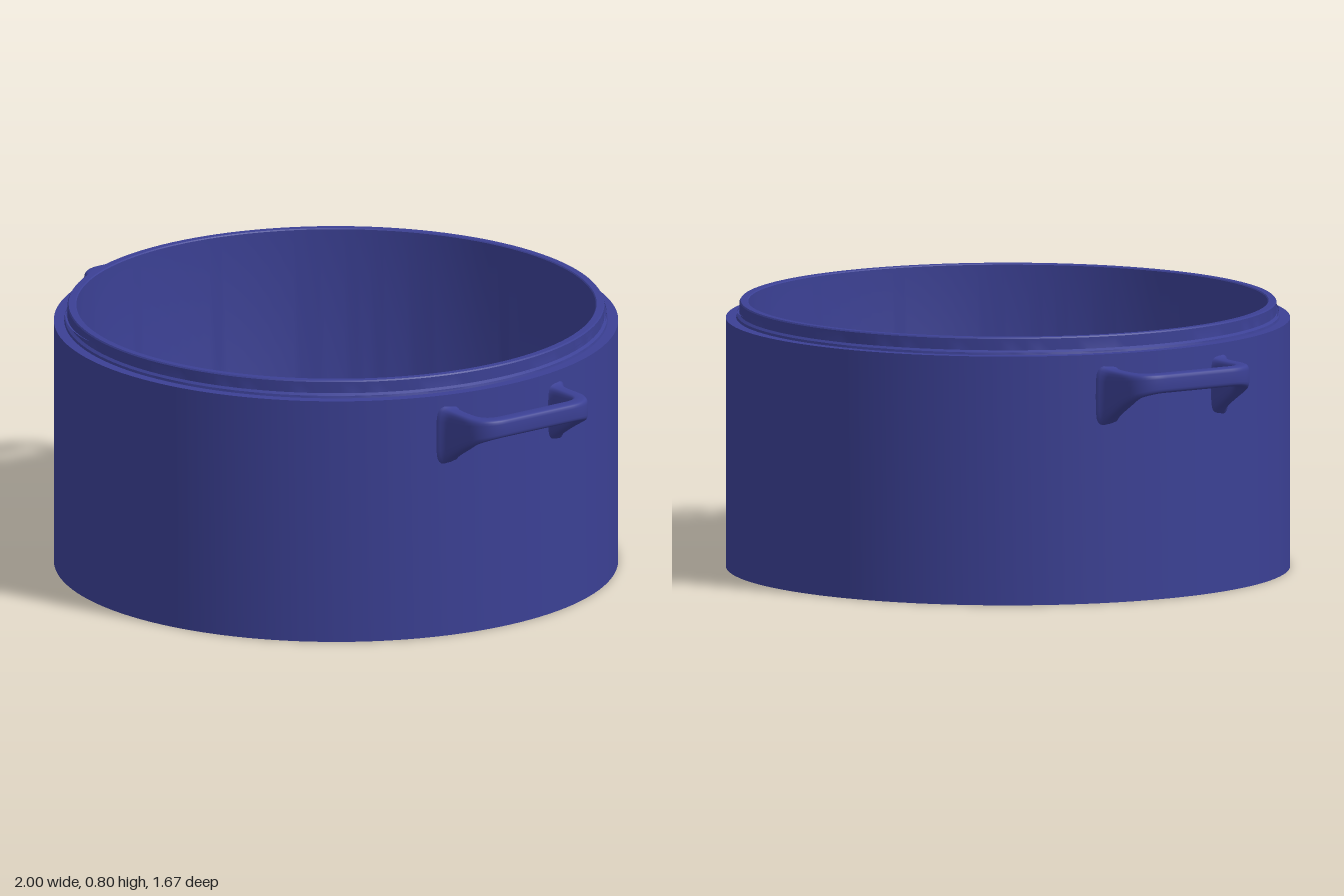
import * as THREE from 'three';
import { toCreasedNormals } from 'three/addons/utils/BufferGeometryUtils.js';

// Skin a list of closed rings (each an array of Vector3) into a tube
function loft(rings) {
  const n = rings[0].length;
  const index = [];
  for (let i = 0; i < rings.length - 1; i++) {
    for (let j = 0; j < n; j++) {
      const a = i * n + j, b = i * n + (j + 1) % n;
      index.push(a, b, a + n, b, b + n, a + n);
    }
  }
  const geo = new THREE.BufferGeometry().setFromPoints(rings.flat());
  geo.setIndex(index);
  geo.computeVertexNormals();
  return geo;
}

// U-shaped grip with a flat top and an underside that drops towards the wall
function handleGeometry() {
  const path = new THREE.Path();
  path.moveTo(0.77, 0.195);
  path.lineTo(0.9, 0.195);
  path.quadraticCurveTo(0.975, 0.195, 0.975, 0.12);
  path.lineTo(0.975, -0.12);
  path.quadraticCurveTo(0.975, -0.195, 0.9, -0.195);
  path.lineTo(0.77, -0.195);

  const rings = [];
  const steps = 90, sides = 24;
  for (let i = 0; i <= steps; i++) {
    const p = path.getPointAt(i / steps);
    const t = path.getTangentAt(i / steps);
    const flare = 0.02 * Math.exp(-Math.max(0, p.x - 0.805) / 0.015);
    const half = 0.025 + flare;
    const top = 0.7 + flare * 0.7;
    const bottom = 0.642 - (0.975 - p.x) * 0.62 - flare * 0.5;
    const ring = [];
    for (let j = 0; j < sides; j++) {
      const a = (j / sides) * Math.PI * 2;
      const round = (v) => Math.sign(v) * Math.sqrt(Math.abs(v));
      const side = half * round(Math.sin(a));
      const y = (top + bottom) / 2 + ((top - bottom) / 2) * round(Math.cos(a));
      ring.push(new THREE.Vector3(p.x - t.y * side, y, p.y + t.x * side));
    }
    rings.push(ring);
  }
  return loft(rings);
}

// One slanted screw ridge, tapering to nothing at both ends
function threadGeometry() {
  const rings = [];
  const steps = 24, span = THREE.MathUtils.degToRad(37);
  for (let i = 0; i <= steps; i++) {
    const u = i / steps;
    const a = u * span;
    const size = Math.min(1, Math.sin(u * Math.PI) * 2);
    const y = 0.754 + 0.03 * u;
    const point = (r, h) => new THREE.Vector3(r * Math.sin(a), h, r * Math.cos(a));
    rings.push([
      point(0.792, y + 0.007 * size),
      point(0.794 + 0.009 * size, y + 0.002 * size),
      point(0.794 + 0.009 * size, y - 0.002 * size),
      point(0.792, y - 0.007 * size),
    ].reverse());
  }
  return toCreasedNormals(loft(rings), 0.4);
}

export function createModel() {
  const model = new THREE.Group();
  model.name = 'cookingPot';
  const blue = new THREE.MeshStandardMaterial({ name: 'deepBlue', color: 0x3b4094 });

  const add = (geo, name) => {
    const mesh = new THREE.Mesh(geo, blue);
    mesh.name = name;
    model.add(mesh);
    return mesh;
  };

  // Body: outer wall, shoulder, neck, inner wall, filleted floor
  const profile = [
    [0, 0], [0.837, 0], [0.837, 0.745], [0.806, 0.745], [0.804, 0.752], [0.796, 0.758],
    [0.796, 0.792], [0.793, 0.796], [0.773, 0.796], [0.77, 0.793],
  ].map(([x, y]) => new THREE.Vector2(x, y));
  const floor = 0.075, fillet = 0.035;
  for (let i = 0; i <= 6; i++) {
    const a = (i / 6) * Math.PI / 2;
    profile.push(new THREE.Vector2(
      0.77 - fillet + fillet * Math.cos(a),
      floor + fillet - fillet * Math.sin(a),
    ));
  }
  profile.push(new THREE.Vector2(0, floor));
  add(toCreasedNormals(new THREE.LatheGeometry(profile, 128), 0.5), 'potBody');

  // Small round mark in the middle of the floor
  const mark = add(new THREE.CylinderGeometry(0.04, 0.04, 0.006, 32), 'floorMark');
  mark.position.y = floor + 0.001;

  // Eight screw ridges around the neck
  const thread = threadGeometry();
  for (let i = 0; i < 8; i++) {
    add(thread, 'neckThread').rotation.y = (i * Math.PI) / 4;
  }

  // Opposite handles
  const handle = handleGeometry();
  add(handle, 'leftHandle');
  add(handle, 'rightHandle').rotation.y = Math.PI;

  return model;
}
